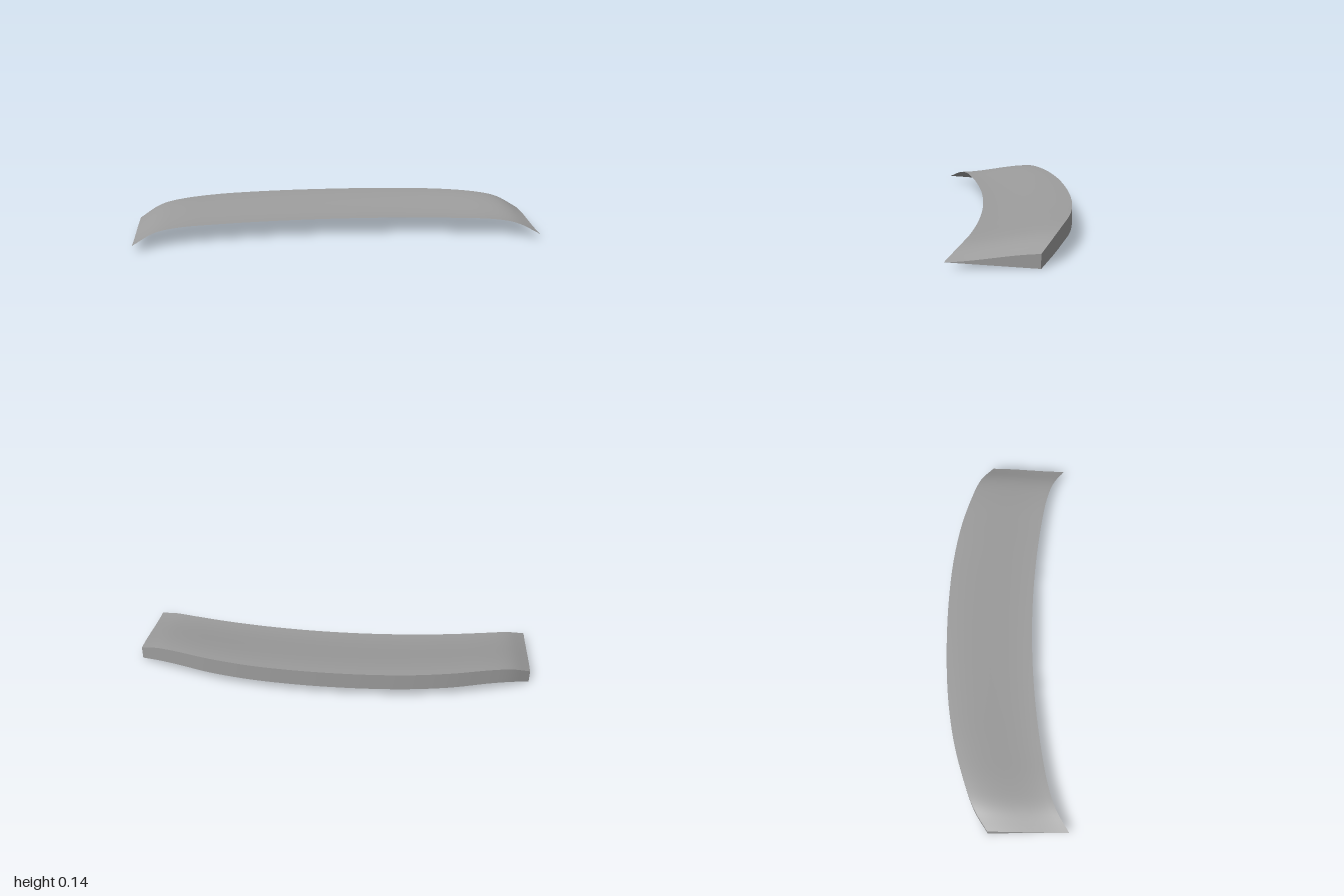
import * as THREE from 'three';

// half-span stations: x, front edge (y, z), back edge z, back top y, back bottom y
const STATIONS = [
  [0, 0.09, 0.127, -0.31, 0.136, 0.052],
  [0.2, 0.09, 0.132, -0.305, 0.136, 0.052],
  [0.4, 0.09, 0.147, -0.288, 0.136, 0.052],
  [0.6, 0.09, 0.172, -0.253, 0.136, 0.052],
  [0.78, 0.089, 0.205, -0.2, 0.131, 0.051],
  [0.9, 0.076, 0.246, -0.153, 0.113, 0.037],
  [1, 0.034, 0.309, -0.088, 0.063, 0],
];

// smooth rail across the whole span, mirrored about x = 0
function rail(pick) {
  const half = STATIONS.map((s) => new THREE.Vector3(s[0], ...pick(s)));
  const mirrored = half.slice(1).reverse().map((p) => new THREE.Vector3(-p.x, p.y, p.z));
  return new THREE.CatmullRomCurve3([...mirrored, ...half], false, 'catmullrom', 0.5);
}

// smooth grid surface from point(u, v)
function skin(point, nu, nv) {
  const pos = [], index = [];
  for (let j = 0; j <= nv; j++) {
    for (let i = 0; i <= nu; i++) {
      pos.push(...point(i / nu, j / nv).toArray());
      if (i < nu && j < nv) {
        const a = j * (nu + 1) + i, d = a + nu + 1;
        index.push(a, a + 1, d + 1, a, d + 1, d);
      }
    }
  }
  const geo = new THREE.BufferGeometry();
  geo.setAttribute('position', new THREE.Float32BufferAttribute(pos, 3));
  geo.setIndex(index);
  geo.computeVertexNormals();
  return geo;
}

export function createModel() {
  const group = new THREE.Group();
  group.name = 'spoiler';
  const grey = new THREE.MeshStandardMaterial({ color: 0x9c9c9c });
  grey.name = 'grey';

  const front = rail((s) => [s[1], s[2]]);
  const backTop = rail((s) => [s[4], s[3]]);
  const backBottom = rail((s) => [s[5], s[3]]);

  const between = (a, b) => (u, v) => a.getPoint(u).lerp(b.getPoint(u), v);
  // upper surface rises in an S-curve from the sharp front edge to the back
  const upper = (u, v) => {
    const p = between(front, backTop)(u, v);
    const f = front.getPoint(u), b = backTop.getPoint(u);
    p.y = THREE.MathUtils.lerp(f.y, b.y, THREE.MathUtils.smoothstep(v, 0, 1));
    return p;
  };
  const lower = between(front, backBottom);

  const add = (name, point, nu, nv) => {
    const mesh = new THREE.Mesh(skin(point, nu, nv), grey);
    mesh.name = name;
    group.add(mesh);
  };

  add('upperSurface', upper, 60, 16);
  add('backFace', between(backTop, backBottom), 60, 2);
  add('underside', between(backBottom, front), 60, 6);

  // flat wedge-shaped end caps
  add('rightEnd', (u, v) => upper(0, u).lerp(lower(0, u), v), 16, 1);
  add('leftEnd', (u, v) => lower(1, u).lerp(upper(1, u), v), 16, 1);
  return group;
}
